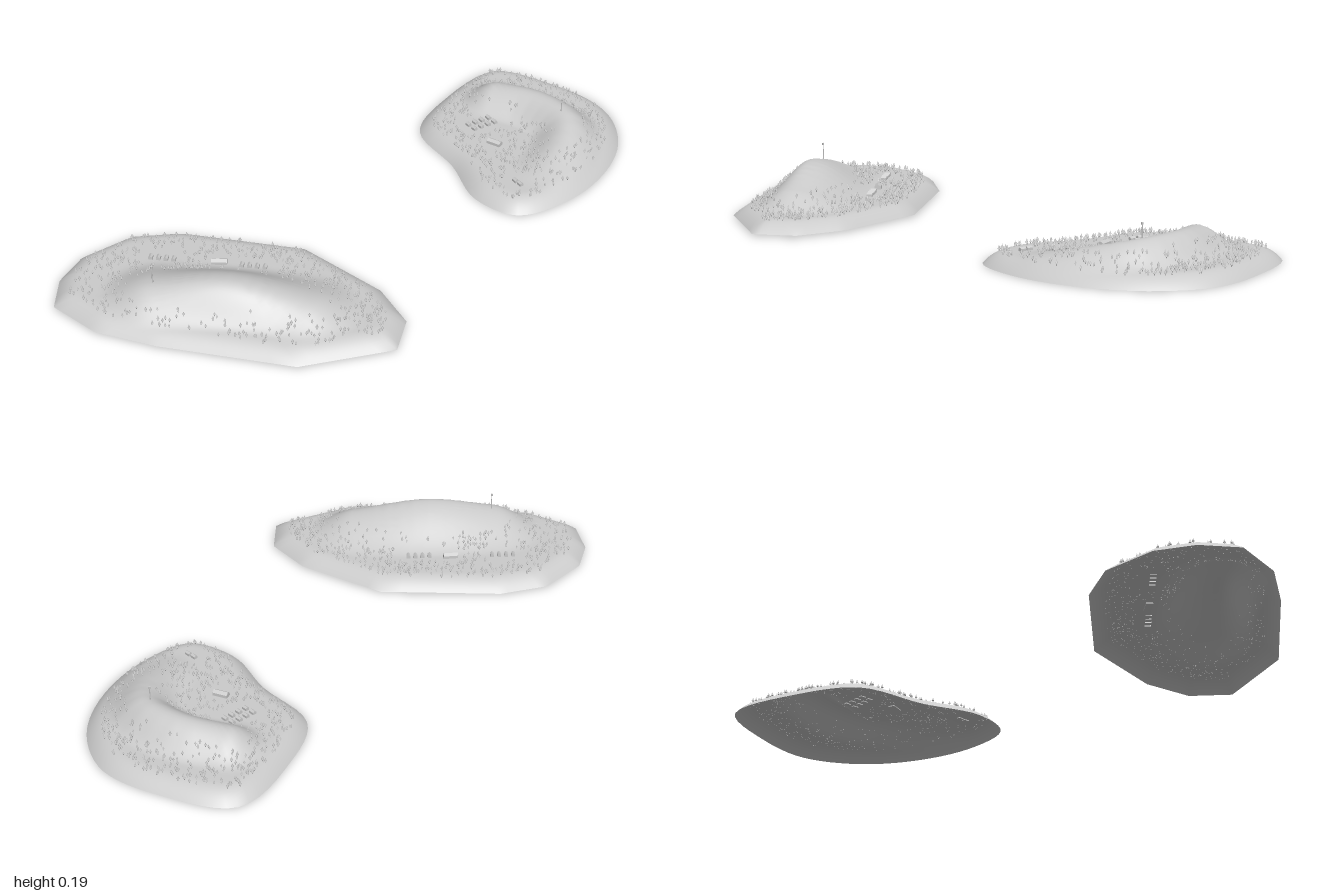
import * as THREE from 'three';
import { mergeGeometries } from 'three/addons/utils/BufferGeometryUtils.js';

const grey = new THREE.MeshStandardMaterial({ color: 0xcccccc });
const shellGrey = new THREE.MeshStandardMaterial({ color: 0xcccccc, side: THREE.DoubleSide });
const { lerp, clamp } = THREE.MathUtils;

// Shore points are x, z; crest points are x, height above plateau, z.
// widths are the hill's spread on the left and right of its crest.
const longIsland = {
  name: 'longIsland', base: 0.01, plateau: 0.052, smooth: false, centre: [-.32, .7], seed: 71,
  shore: [[-.57, .31], [-.12, .34], [.17, .54], [.28, .7], [.27, .86], [-.04, 1],
    [-.52, .96], [-.74, .915], [-.91, .8], [-.93, .65], [-.89, .51], [-.75, .36]],
  crest: [[-.56, .075, .78], [-.32, .112, .77], [-.06, .065, .78]],
  widths: [.14, .25],
  mast: [-.57, .765, .19],
  hutRows: [{ start: [-.635, .525], step: [.027, 0], count: 4, turn: 0 },
    { start: [-.315, .525], step: [.027, 0], count: 4, turn: 0 }],
  hall: [-.395, .52, .1],
};
const bayIsland = {
  name: 'bayIsland', base: 0.003, plateau: 0.047, smooth: true, centre: [.56, -.5], seed: 471,
  shore: [[.4, -.995], [.66, -.92], [.85, -.78], [.92, -.57], [.89, -.35], [.77, -.13],
    [.59, 0], [.43, -.08], [.32, -.29], [.17, -.51], [.23, -.75]],
  crest: [[.44, .073, -.71], [.6, .084, -.65], [.72, .08, -.53], [.72, .05, -.37], [.68, .02, -.26]],
  widths: [.14, .14],
  mast: [.7, -.54, .18],
  hutRows: [{ start: [.355, -.515], step: [.023, -.02], count: 4, turn: .7 },
    { start: [.38, -.49], step: [.023, -.02], count: 4, turn: .7 },
    { start: [.565, -.155], step: [.02, .02], count: 2, turn: .7 }],
  hall: [.465, -.4, -.45],
};

function seeded(seed) {
  return () => {
    seed = (seed * 16807) % 2147483647;
    return seed / 2147483647;
  };
}

// Nearest point on a segment: fraction along it, distance, and side (-1 left to 1 right)
function nearest(x, z, a, b) {
  const dx = b.x - a.x, dz = b.z - a.z, len = Math.hypot(dx, dz);
  const t = clamp(((x - a.x) * dx + (z - a.z) * dz) / (len * len), 0, 1);
  const ox = x - a.x - t * dx, oz = z - a.z - t * dz;
  const d = Math.hypot(ox, oz);
  return { t, d, side: d > 1e-6 ? (ox * dz - oz * dx) / (d * len) : 0 };
}

// Shoreline samples, either straight-sided or curved
function sampleShore({ shore, smooth }) {
  const pts = shore.map(([x, z]) => new THREE.Vector3(x, 0, z));
  const curve = new THREE.CatmullRomCurve3(pts, true, 'centripetal');
  const steps = 6;
  return pts.flatMap((p, i) => Array.from({ length: steps }, (_, k) => (smooth
    ? curve.getPoint((i + k / steps) / pts.length)
    : p.clone().lerp(pts[(i + 1) % pts.length], k / steps))));
}

// Rules for one island's land: distance to shore, hill height and ground height
function landOf(island) {
  const outline = sampleShore(island);
  const crest = new THREE.CatmullRomCurve3(island.crest.map(p => new THREE.Vector3(...p))).getPoints(12);
  const shoreDistance = (x, z) => Math.min(
    ...outline.map((p, i) => nearest(x, z, p, outline[(i + 1) % outline.length]).d));
  const hill = (x, z) => Math.max(...crest.slice(1).map((b, i) => {
    const n = nearest(x, z, crest[i], b);
    const u = Math.min(n.d / lerp(...island.widths, 0.5 + 0.5 * n.side), 1);
    return lerp(crest[i].y, b.y, n.t) * (1 - u * u) ** 2;
  }));
  const ground = (x, z) => {
    const q = Math.min(shoreDistance(x, z) / 0.08, 1);
    return lerp(island.base, island.plateau, 1 - (1 - q) ** 2) + hill(x, z);
  };
  return { outline, shoreDistance, hill, ground };
}

// Open shell of rings shrinking from the shore to the centre
function terrain(island, { outline, ground }) {
  const rings = 34, n = outline.length, pos = [], index = [];
  const [cx, cz] = island.centre;
  for (let r = 0; r <= rings; r++) {
    const s = 1 - (r / rings) ** 1.3;
    outline.forEach(p => {
      const x = lerp(cx, p.x, s), z = lerp(cz, p.z, s);
      pos.push(x, ground(x, z), z);
    });
  }
  for (let r = 0; r < rings; r++) {
    for (let i = 0; i < n; i++) {
      const a = r * n + i, b = r * n + (i + 1) % n;
      index.push(a, a + n, b);
      if (r < rings - 1) index.push(b, a + n, b + n);
    }
  }
  const geo = new THREE.BufferGeometry();
  geo.setAttribute('position', new THREE.Float32BufferAttribute(pos, 3));
  geo.setIndex(index);
  geo.computeVertexNormals();
  return geo;
}

function treeShape() {
  const trunk = new THREE.CylinderGeometry(0.0015, 0.0015, 0.01, 4, 1, true).translate(0, 0.003, 0);
  const crown = new THREE.ConeGeometry(0.0045, 0.012, 5).translate(0, 0.012, 0);
  return mergeGeometries([trunk, crown]);
}

// Trees fill the plateau, thin out up the hill and keep clear of buildings
function forest({ outline, shoreDistance, hill, ground }, buildings, random) {
  const box = new THREE.Box3().setFromPoints(outline);
  const inside = (x, z) => outline.reduce((hit, p, i) => {
    const q = outline[(i + 1) % outline.length];
    return (p.z > z) !== (q.z > z) && x < p.x + (z - p.z) * (q.x - p.x) / (q.z - p.z) ? !hit : hit;
  }, false);
  const tree = treeShape(), trees = [];
  for (let tries = 0; tries < 8000 && trees.length < 620; tries++) {
    const x = lerp(box.min.x, box.max.x, random());
    const z = lerp(box.min.z, box.max.z, random());
    if (!inside(x, z) || shoreDistance(x, z) < 0.05) continue;
    if (random() < hill(x, z) / 0.06) continue;
    if (buildings.some(b => Math.hypot(x - b[0], z - b[1]) < 0.05)) continue;
    const s = 0.8 + 0.4 * random();
    trees.push(tree.clone().scale(s, s, s).rotateY(random() * 6.28).translate(x, ground(x, z), z));
  }
  return mergeGeometries(trees);
}

// Gabled house with its floor just below y = 0
function house(w, h, d) {
  const end = new THREE.Shape();
  end.moveTo(-w / 2, -0.003).lineTo(w / 2, -0.003).lineTo(w / 2, h * 0.6).lineTo(0, h).lineTo(-w / 2, h * 0.6);
  return new THREE.ExtrudeGeometry(end, { depth: d, bevelEnabled: false }).translate(0, 0, -d / 2);
}

// Thin pole with a small head
function mastShape(height) {
  return mergeGeometries([
    new THREE.CylinderGeometry(0.0015, 0.0025, height, 6).translate(0, height / 2, 0),
    new THREE.CylinderGeometry(0.004, 0.004, 0.008, 6).translate(0, height - 0.004, 0),
  ]);
}

function buildIsland(island) {
  const group = new THREE.Group();
  group.name = island.name;
  const land = landOf(island);
  const add = (name, geo, material = grey) => {
    const mesh = new THREE.Mesh(geo, material);
    mesh.name = name;
    group.add(mesh);
  };
  const place = (geo, x, z, turn = 0) => geo.rotateY(turn).translate(x, land.ground(x, z), z);

  const huts = island.hutRows.flatMap(({ start, step, count, turn }) => Array.from({ length: count },
    (_, i) => [start[0] + i * step[0], start[1] + i * step[1], turn]));
  const [hallX, hallZ, hallTurn] = island.hall;
  const [mastX, mastZ, mastTop] = island.mast;

  add('terrain', terrain(island, land), shellGrey);
  add('trees', forest(land, [...huts, island.hall], seeded(island.seed)));
  add('huts', mergeGeometries(huts.map(h => place(house(0.014, 0.014, 0.022), ...h))));
  add('hall', place(house(0.025, 0.018, 0.055), hallX, hallZ, hallTurn + Math.PI / 2));
  add('mast', place(mastShape(mastTop - land.ground(mastX, mastZ)), mastX, mastZ));
  return group;
}

export function createModel() {
  const model = new THREE.Group();
  model.name = 'islands';
  model.add(buildIsland(longIsland), buildIsland(bayIsland));
  return model;
}
